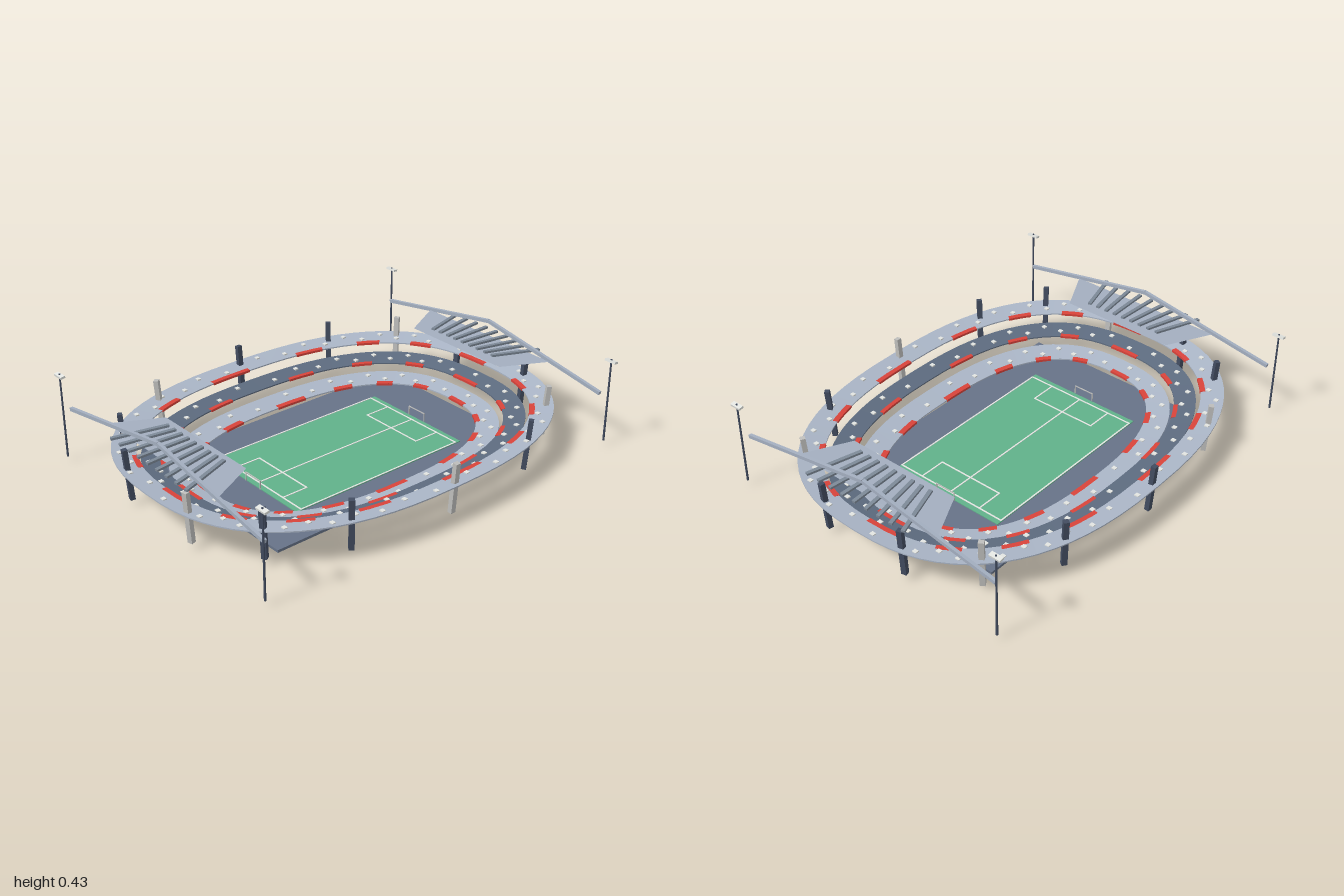
import * as THREE from 'three';

const mat = (name, color, side = THREE.FrontSide) => {
  const m = new THREE.MeshStandardMaterial({ color, side });
  m.name = name;
  return m;
};

// Point on the rounded-oval plan
const oval = (rx, rz, t) => {
  const p = 0.8, c = Math.cos(t), s = Math.sin(t);
  return [rx * Math.sign(c) * Math.abs(c) ** p, rz * Math.sign(s) * Math.abs(s) ** p];
};

// Sloping band swept round the oval; each section runs inner top, outer top, outer bottom, inner bottom
function bandGeometry(inner, outer, yIn, yOut, thick, t0, t1, n) {
  const pos = [], index = [];
  for (let i = 0; i <= n; i++) {
    const t = t0 + (t1 - t0) * i / n;
    const [ix, iz] = oval(...inner, t), [ox, oz] = oval(...outer, t);
    pos.push(ix, yIn, iz, ox, yOut, oz, ox, yOut - thick, oz, ix, yIn - thick, iz);
  }
  for (let i = 0; i < n; i++) for (let j = 0; j < 4; j++) {
    const k = (j + 1) % 4, a = i * 4 + j, b = a + 4, c = i * 4 + 4 + k, d = i * 4 + k;
    index.push(a, b, c, a, c, d);
  }
  const e = n * 4;
  index.push(0, 1, 2, 0, 2, 3, e, e + 2, e + 1, e, e + 3, e + 2);
  const g = new THREE.BufferGeometry();
  g.setAttribute('position', new THREE.Float32BufferAttribute(pos, 3));
  g.setIndex(index);
  const flat = g.toNonIndexed();
  flat.computeVertexNormals();
  return flat;
}

export function createModel() {
  const model = new THREE.Group();
  model.name = 'stadium';
  const M = {
    pale: mat('pale slate', 0xaab5c6),
    slate: mat('mid slate', 0x5d6b7f),
    ground: mat('ground slate', 0x667287),
    grass: mat('grass green', 0x60b18a),
    line: mat('line white', 0xe2e4e0),
    red: mat('accent red', 0xd8433a),
    dark: mat('dark navy', 0x424c60),
    light: mat('light grey', 0xbdbdbb),
    steel: mat('steel grey', 0x7c8896),
    roof: mat('roof slate', 0xa3aebf, THREE.DoubleSide),
  };
  const add = (name, geo, m, x = 0, y = 0, z = 0, parent = model) => {
    const mesh = new THREE.Mesh(geo, m);
    mesh.name = name;
    mesh.position.set(x, y, z);
    parent.add(mesh);
    return mesh;
  };
  const box = (name, w, h, d, m, x, y, z, parent) => add(name, new THREE.BoxGeometry(w, h, d), m, x, y, z, parent);
  // Bar of rectangular section between two points
  const bar = (name, a, b, w, h, m) => {
    const A = new THREE.Vector3(...a), B = new THREE.Vector3(...b);
    const mesh = box(name, w, h, A.distanceTo(B), m, 0, 0, 0);
    mesh.position.copy(A).add(B).multiplyScalar(0.5);
    mesh.lookAt(B);
    return mesh;
  };

  // Ground slab and pitch
  box('groundSlab', 0.92, 0.012, 1.4, M.ground, 0, 0.006, 0);
  box('pitch', 0.58, 0.004, 0.94, M.grass, 0, 0.014, 0);
  const mark = (w, d, x, z) => box('pitchLine', w, 0.002, d, M.line, x, 0.017, z);
  mark(0.007, 0.89, 0, 0);
  for (const s of [-1, 1]) {
    mark(0.007, 0.89, s * 0.286, 0);
    mark(0.578, 0.007, 0, s * 0.443);
    mark(0.336, 0.007, 0, s * 0.315);
    for (const x of [-0.165, 0.165]) mark(0.007, 0.128, x, s * 0.379);
    // Goals
    for (const x of [-0.05, 0.05]) box('goalPost', 0.004, 0.04, 0.004, M.light, x, 0.036, s * 0.473);
    box('goalCrossbar', 0.104, 0.004, 0.004, M.light, 0, 0.056, s * 0.473);
  }

  // Three seating tiers with red panels under the inner edge and small seat blocks
  const tiers = [
    { name: 'lowerTier', inner: [0.43, 0.68], outer: [0.535, 0.775], y: [0.055, 0.07], m: M.pale, dashes: 16, seats: 40 },
    { name: 'middleTier', inner: [0.552, 0.79], outer: [0.642, 0.885], y: [0.106, 0.122], m: M.slate, dashes: 14, seats: 46 },
    { name: 'upperTier', inner: [0.66, 0.9], outer: [0.757, 1.0], y: [0.162, 0.177], m: M.pale, dashes: 16, seats: 52 },
  ];
  const TAU = Math.PI * 2;
  tiers.forEach((T, k) => {
    add(T.name, bandGeometry(T.inner, T.outer, T.y[0], T.y[1], 0.006, 0, TAU, 72), T.m);
    for (let i = 0; i < T.dashes; i++) {
      const t = (i + 0.3 * k) / T.dashes * TAU;
      const edge = T.inner.map(r => r - 0.003), back = T.inner.map(r => r + 0.04);
      add('edgePanel', bandGeometry(edge, back, T.y[0] + 0.002, T.y[0] + 0.004, 0.011, t, t + 0.16, 4), M.red);
    }
    for (let i = 0; i < T.seats; i++) {
      const t = (i + 0.5) / T.seats * TAU, f = i % 2 ? 0.35 : 0.68;
      const mix = j => T.inner[j] + (T.outer[j] - T.inner[j]) * f;
      const [x, z] = oval(mix(0), mix(1), t);
      const y = T.y[0] + (T.y[1] - T.y[0]) * f;
      box('seatBlock', 0.02, 0.008, 0.018, M.line, x, y + 0.001, z);
    }
  });

  // Fourteen pillars leaning outward
  for (let i = 0; i < 14; i++) {
    const [x, z] = oval(0.722, 0.965, i / 14 * TAU);
    const p = box('pillar', 0.022, 0.238, 0.024, i % 3 ? M.dark : M.light, x, 0.147, z);
    p.rotation.order = 'YXZ';
    p.rotation.set(0, -Math.atan2(z, x), -0.08);
  }

  for (const s of [-1, 1]) {
    // End roof: trapezoid canopy with fanned ribs
    const shape = new THREE.Shape([[-0.28, 0.708], [0.28, 0.708], [0.39, 0.922], [-0.39, 0.922]]
      .map(([x, z]) => new THREE.Vector2(x, s * z)));
    const canopy = add('roofCanopy', new THREE.ShapeGeometry(shape), M.roof, 0, 0.306, 0);
    canopy.rotation.x = Math.PI / 2;
    for (let i = -4; i <= 4; i++) {
      bar('roofRib', [i * 0.048, 0.319, s * 0.75], [i * 0.067, 0.306, s * 0.985], 0.017, 0.01, M.steel);
    }
    for (const e of [-1, 1]) {
      // Peaked roof beam
      bar('roofBeam', [e * 0.685, 0.259, s * 0.927], [0, 0.375, s * 0.927], 0.015, 0.016, M.roof);
      // Floodlight mast and lamp head
      const mast = new THREE.Group();
      mast.name = 'floodlight';
      mast.position.set(e * 0.71, 0, s * 0.953);
      model.add(mast);
      add('mast', new THREE.CylinderGeometry(0.004, 0.005, 0.4, 8), M.dark, 0, 0.225, 0, mast);
      box('lampHead', 0.056, 0.01, 0.022, M.line, 0, 0.416, 0, mast).rotation.x = s * 0.2;
    }
  }
  return model;
}
